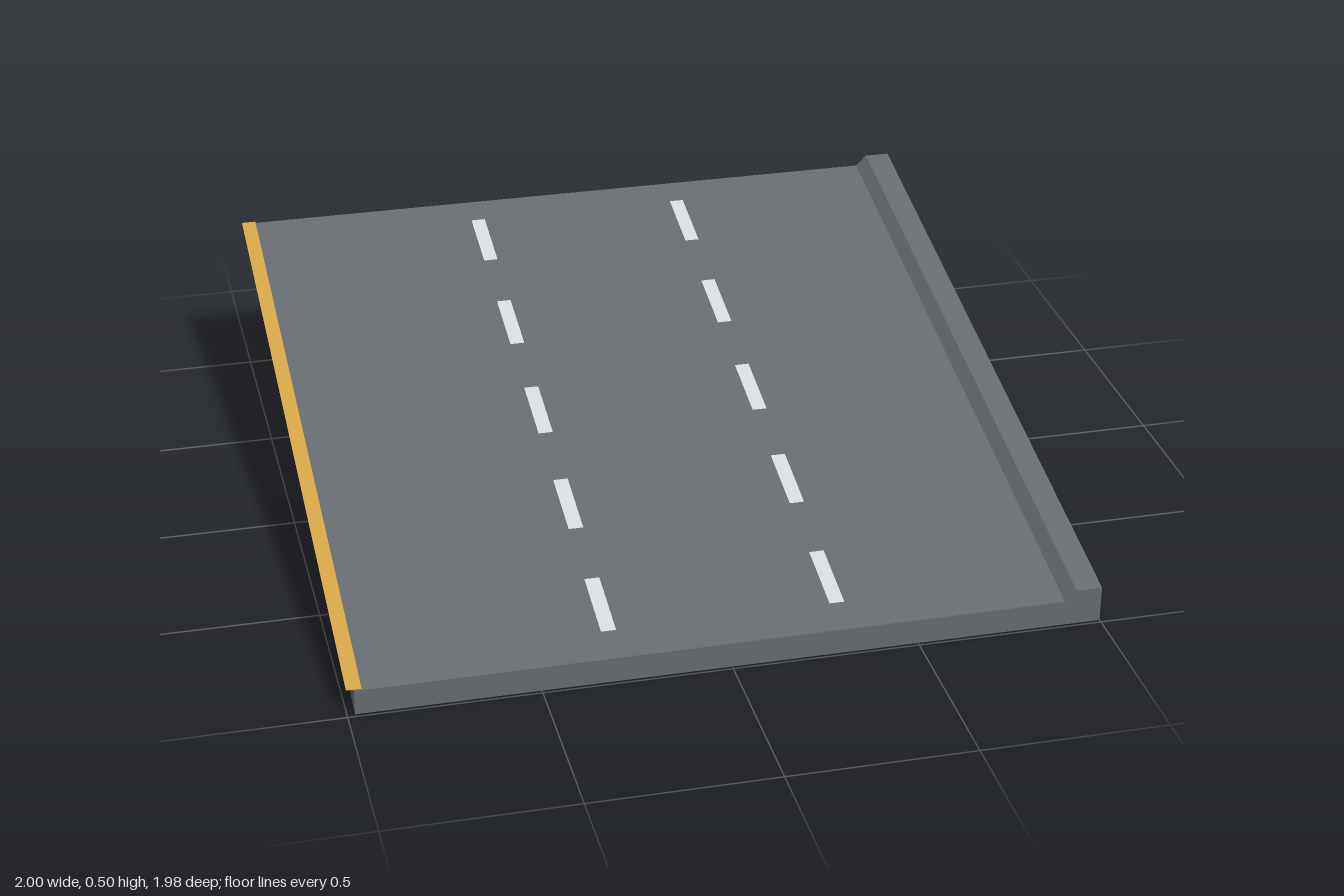
import * as THREE from 'three';

const HALF = 0.99;   // half length along z
const SLOPE = 0.2;   // rise per unit towards the back
const DECK = 0.07;   // slab thickness

// Tilts a level geometry into the ramp while keeping its ends vertical
function slope(geometry) {
  const p = geometry.attributes.position;
  for (let i = 0; i < p.count; i++) p.setY(i, p.getY(i) + (HALF - p.getZ(i)) * SLOPE);
  geometry.computeVertexNormals();
  return geometry;
}

export function createModel() {
  const asphalt = new THREE.MeshStandardMaterial({ name: 'asphalt grey', color: 0x656b6f });
  const yellow = new THREE.MeshStandardMaterial({ name: 'edge yellow', color: 0xd6a648 });
  const white = new THREE.MeshStandardMaterial({ name: 'lane white', color: 0xd8dbdc });

  const group = new THREE.Group();
  group.name = 'roadRamp';
  const add = (name, geometry, material) => {
    const mesh = new THREE.Mesh(slope(geometry), material);
    mesh.name = name;
    group.add(mesh);
  };

  // Road slab with a bevelled kerb along the left edge
  const profile = new THREE.Shape([
    [-0.98, 0], [1, 0], [1, 0.1], [0.93, 0.1], [0.9, DECK], [-0.98, DECK],
  ].map(([x, y]) => new THREE.Vector2(x, y)));
  const slab = new THREE.ExtrudeGeometry(profile, { depth: 2 * HALF, bevelEnabled: false });
  add('roadSlab', slab.translate(0, 0, -HALF), asphalt);

  // Flat paint marking just above the deck
  const marking = (x, z, width, length) =>
    new THREE.PlaneGeometry(width, length).rotateX(-Math.PI / 2).translate(x, DECK + 0.004, z);

  // Yellow line slightly overhanging the open edge
  add('edgeLine', marking(-0.98, 0, 0.04, 2 * HALF), yellow);

  // Two rows of lane dashes
  for (const x of [-0.305, 0.305]) {
    for (let i = -2; i <= 2; i++) add('laneDash', marking(x, i * 0.397, 0.04, 0.2), white);
  }
  return group;
}
